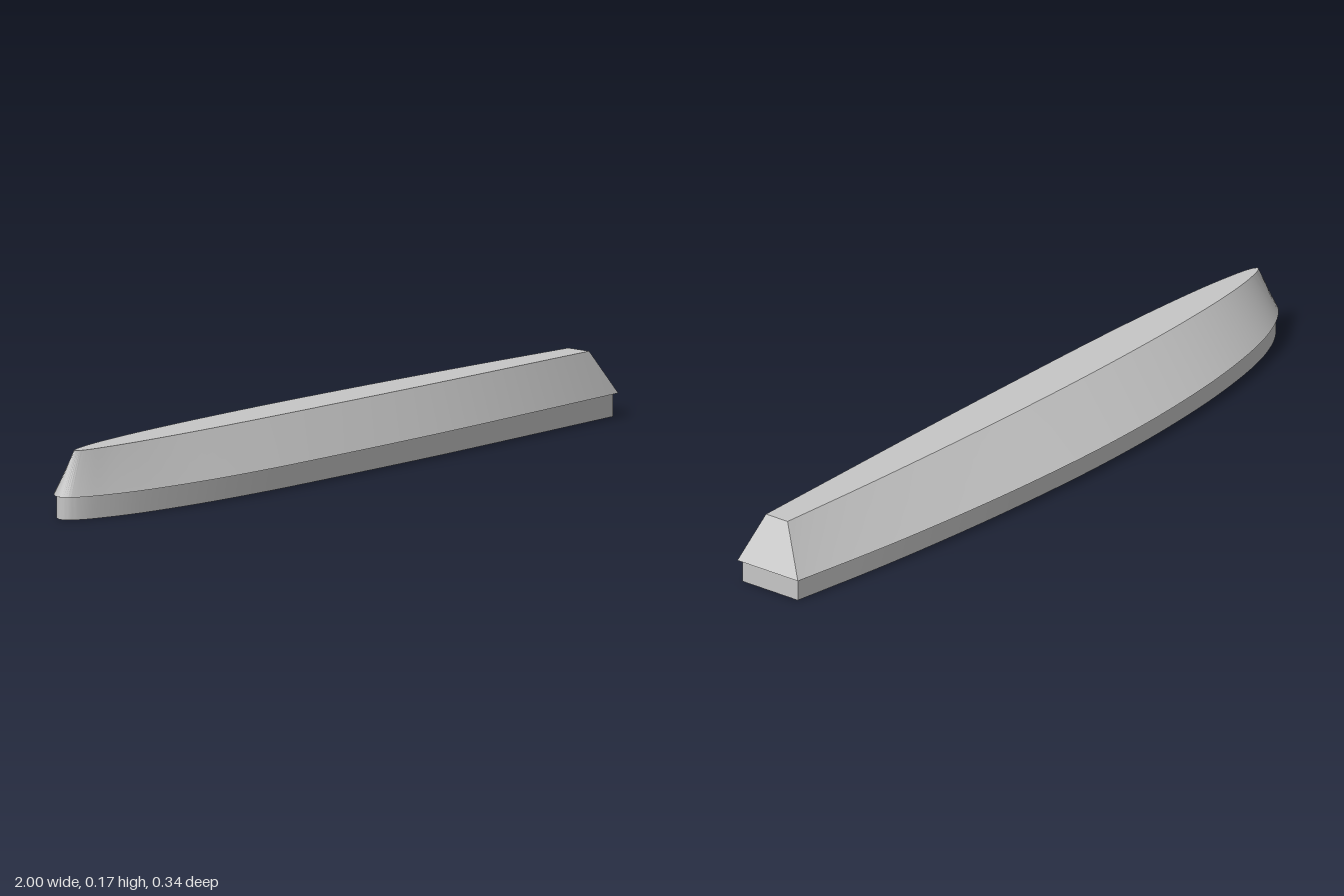
import * as THREE from 'three';
import { toCreasedNormals } from 'three/addons/utils/BufferGeometryUtils.js';

// Eave outline in plan (x, z): back corner, round the nose, to the front corner
const outline = new THREE.CatmullRomCurve3([
  [1, -0.087], [0.7, -0.127], [0.4, -0.154], [0.15, -0.167], [-0.1, -0.17], [-0.35, -0.158],
  [-0.6, -0.128], [-0.8, -0.083], [-0.9, -0.044], [-0.96, -0.008], [-0.99, 0.02], [-1, 0.042],
  [-0.99, 0.065], [-0.96, 0.087], [-0.9, 0.11], [-0.8, 0.135], [-0.6, 0.16], [-0.38, 0.169],
  [-0.1, 0.165], [0.3, 0.151], [0.65, 0.129], [1, 0.105],
].map(([x, z]) => new THREE.Vector3(x, 0, z))).getPoints(105);

// Outline scaled and shifted to one level
const ring = (y, sx, dx, sz, dz) =>
  outline.map((p) => new THREE.Vector3(p.x * sx + dx, y, p.z * sz + dz));

// Closed solid between two rings, with flat caps and a flat stern
function loft(lower, upper) {
  const points = [];
  const n = lower.length;
  for (let i = 0; i < n; i++) {
    const j = (i + 1) % n;
    points.push(lower[i], lower[j], upper[j], lower[i], upper[j], upper[i]);
    if (i > 0 && j > 0) {
      points.push(upper[0], upper[i], upper[j], lower[0], lower[j], lower[i]);
    }
  }
  return toCreasedNormals(new THREE.BufferGeometry().setFromPoints(points), 0.45);
}

export function createModel() {
  const group = new THREE.Group();
  const grey = new THREE.MeshStandardMaterial({ color: 0xc6c6c6 });
  grey.name = 'light grey';

  const add = (name, lower, upper) => {
    const mesh = new THREE.Mesh(loft(lower, upper), grey);
    mesh.name = name;
    group.add(mesh);
  };

  // Upright base, set in slightly under the eave
  add('baseWall', ring(0, 0.99, 0, 0.915, 0.001), ring(0.058, 0.99, 0, 0.915, 0.001));
  // Sloping upper body, leaning toward the front
  add('slopedRoof', ring(0.058, 1, 0, 1, 0), ring(0.168, 0.94, -0.01, 0.357, 0.034));
  return group;
}
